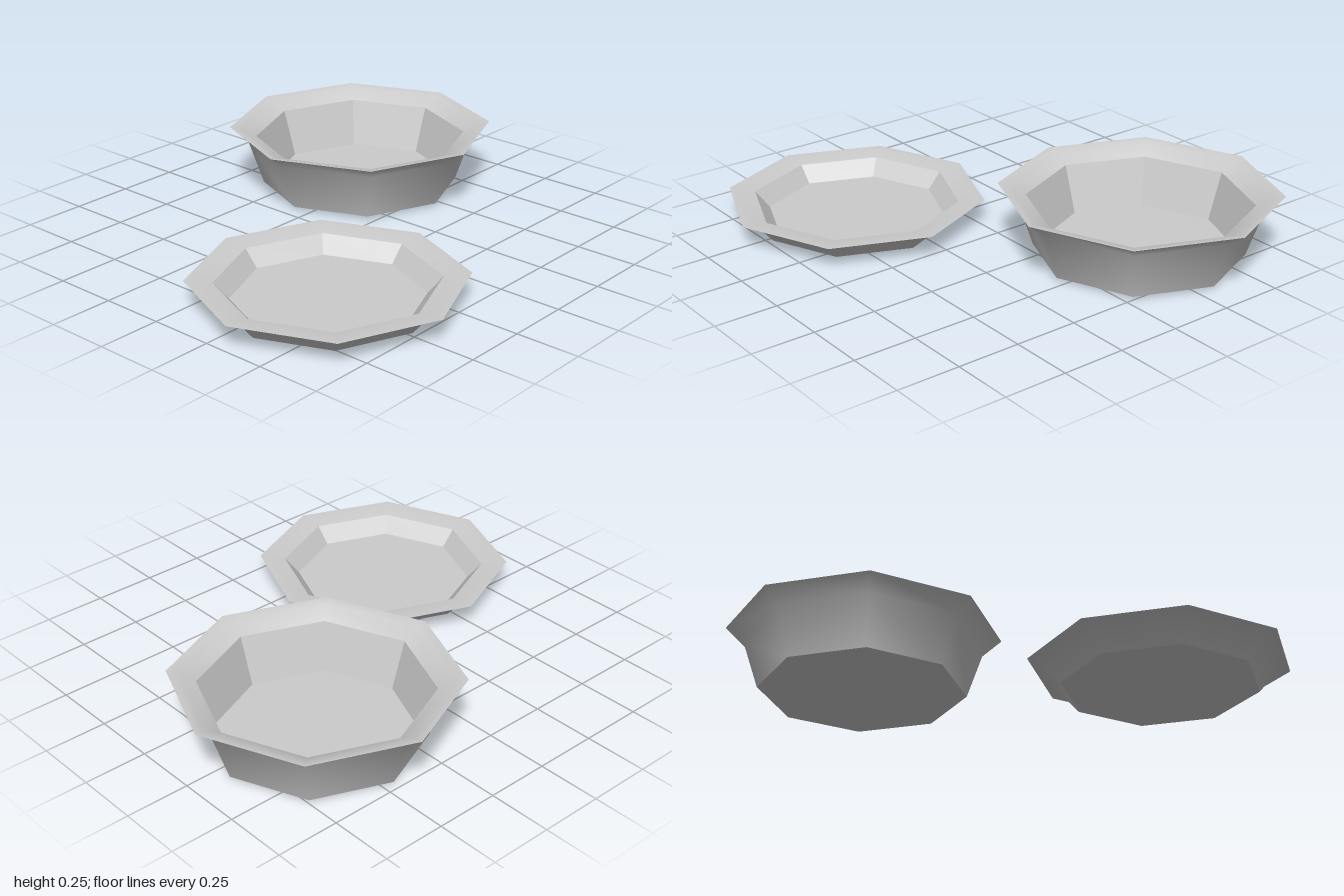
import * as THREE from 'three';

const SIDES = 8;
const smooth = new THREE.MeshStandardMaterial({ color: 0xcccccc });
const faceted = new THREE.MeshStandardMaterial({ color: 0xcccccc, flatShading: true });

// Octagonal band swept from a profile of [radius, height] points
function band(name, points, material) {
  const profile = points.map(([r, y]) => new THREE.Vector2(r, y));
  const mesh = new THREE.Mesh(new THREE.LatheGeometry(profile, SIDES), material);
  mesh.name = name;
  return mesh;
}

// A dish is a closed skin: each band starts where the previous one ends
function createDish(name, { foot, shoulder, lip, rimCrest, wallTop, floor }) {
  const dish = new THREE.Group();
  dish.name = name;
  dish.add(
    band('base', [[0, foot[1]], foot], faceted),
    band('outerWall', [foot, shoulder, lip], smooth),
    band('rim', [lip, rimCrest, wallTop], smooth),
    band('innerWall', [wallTop, floor], faceted),
    band('floor', [floor, [0, floor[1]]], faceted),
  );
  return dish;
}

export function createModel() {
  const model = new THREE.Group();
  model.name = 'dishes';

  // Deep bowl at the back
  const bowl = createDish('bowl', {
    foot: [0.405, 0.01],
    shoulder: [0.47, 0.203],
    lip: [0.54, 0.255],
    rimCrest: [0.5, 0.25],
    wallTop: [0.433, 0.213],
    floor: [0.373, 0.028],
  });
  bowl.position.set(-0.32, 0, -0.46);

  // Shallow plate at the front
  const plate = createDish('plate', {
    foot: [0.387, 0],
    shoulder: [0.45, 0.073],
    lip: [0.515, 0.093],
    rimCrest: [0.475, 0.092],
    wallTop: [0.412, 0.082],
    floor: [0.355, 0.018],
  });
  plate.position.set(0.34, 0, 0.48);

  model.add(bowl, plate);
  return model;
}
